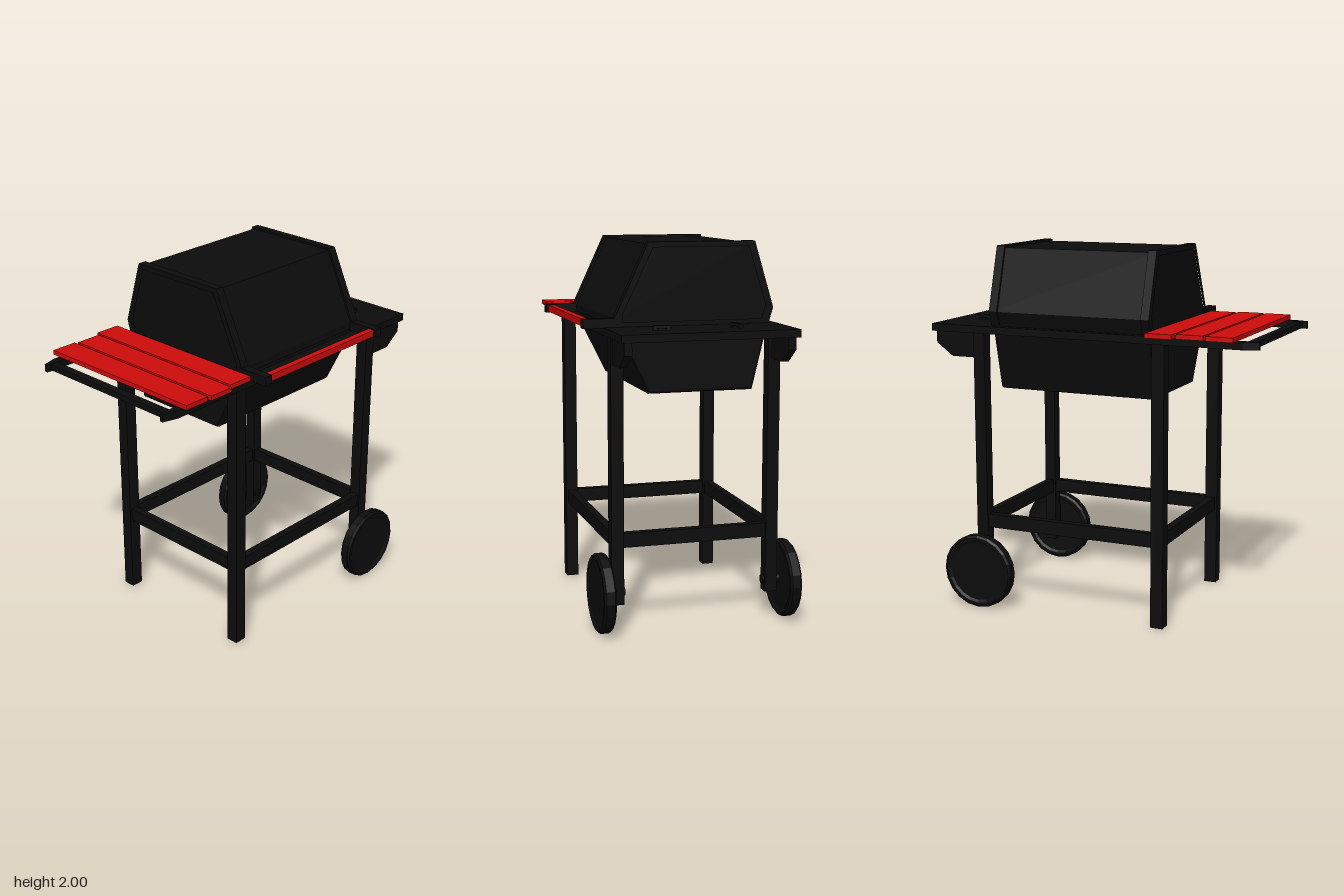
import * as THREE from 'three';

const black = new THREE.MeshStandardMaterial({ color: 0x0c0c0c });
black.name = 'black enamel';
const red = new THREE.MeshStandardMaterial({ color: 0xd00c0c });
red.name = 'red wood';

// The cart is symmetric about this z plane
const MID = -0.023;

export function createModel() {
  const group = new THREE.Group();
  group.name = 'barbecueCart';

  const add = (name, geometry, material, x = 0, y = 0, z = 0) => {
    const mesh = new THREE.Mesh(geometry, material);
    mesh.name = name;
    mesh.position.set(x, y, z);
    group.add(mesh);
    return mesh;
  };
  // Box given by its extents along each axis
  const box = (name, material, [x0, x1], [y0, y1], [z0, z1]) =>
    add(name, new THREE.BoxGeometry(x1 - x0, y1 - y0, z1 - z0), material,
      (x0 + x1) / 2, (y0 + y1) / 2, (z0 + z1) / 2);

  // Side profile of [z, y] points swept from x0 to x1
  const toShape = (pts) => new THREE.Shape(pts.map(([z, y]) => new THREE.Vector2(-z, y)));
  const inset = (pts, sz, sy, cz, cy) => pts.map(([z, y]) => [cz + (z - cz) * sz, cy + (y - cy) * sy]);
  const sweepX = (name, shape, x0, x1, bevel = 0) => {
    const geo = new THREE.ExtrudeGeometry(shape, {
      depth: x1 - x0 - 2 * bevel, bevelEnabled: bevel > 0, bevelSize: bevel,
      bevelThickness: bevel, bevelOffset: -bevel, bevelSegments: 2,
    });
    geo.rotateY(Math.PI / 2);
    return add(name, geo, black, x0 + bevel);
  };

  // Lid: inset body between two raised end rims
  const lid = [[0.385, 1.575], [0.385, 1.615], [0.205, 2], [-0.365, 2], [-0.47, 1.655], [-0.445, 1.575]];
  sweepX('lid', toShape(inset(lid, 0.97, 0.975, -0.04, 1.575)), -0.332, 0.573);
  for (const [x0, x1] of [[-0.342, -0.295], [0.538, 0.585]]) {
    const rim = toShape(lid);
    rim.holes.push(new THREE.Path(inset(lid, 0.9, 0.88, -0.04, 1.77).map(([z, y]) => new THREE.Vector2(-z, y))));
    sweepX('lidRim', rim, x0, x1);
  }

  // Fire bowl
  const bowl = [[0.355, 1.535], [0.2, 1.225], [-0.365, 1.225], [-0.44, 1.535]];
  sweepX('bowl', toShape(bowl), -0.34, 0.575, 0.016);
  box('bowlRim', black, [-0.335, 0.57], [1.53, 1.577], [-0.43, 0.36]);

  // Lid handle
  box('handleBar', red, [-0.295, 0.535], [1.578, 1.615], [0.5, 0.535]);
  for (const x of [-0.345, 0.535]) {
    box('handleBracket', black, [x, x + 0.05], [1.572, 1.62], [0.36, 0.547]);
  }

  // Legs, rails, wheels and table brackets on both sides
  for (const s of [1, -1]) {
    const span = (a, b) => [MID + s * a, MID + s * b].sort((p, q) => p - q);
    const legZ = span(0.387, 0.453);
    box('leftLeg', black, [-0.43, -0.36], [0.01, 1.54], legZ);
    box('wheelLeg', black, [0.615, 0.68], [0.15, 1.54], legZ);
    box('lowerRail', black, [-0.36, 0.615], [0.45, 0.525], span(0.398, 0.442));

    // Upper rail with a tapered tip
    const tip = [[-0.93, 0.422], [-0.93, 0.44], [-0.85, 0.463], [0.59, 0.463], [0.59, 0.418], [-0.85, 0.418]];
    const rail = new THREE.ExtrudeGeometry(
      new THREE.Shape(tip.map(([x, z]) => new THREE.Vector2(x, -(MID + s * z)))),
      { depth: 0.04, bevelEnabled: false });
    rail.rotateX(-Math.PI / 2);
    add('upperRail', rail, black, 0, 1.535, 0);
    for (const x of [-0.43, -0.342, 0.575]) {
      box('railGusset', black, [x, x + 0.06], [1.535, 1.575], span(0.385, 0.42));
    }

    // Wheel with a shallow dish on each face
    const profile = [[0, -0.024], [0.165, -0.024], [0.178, -0.032], [0.195, -0.032], [0.207, -0.022],
      [0.207, 0.022], [0.195, 0.032], [0.178, 0.032], [0.165, 0.024], [0, 0.024]];
    const wheel = new THREE.LatheGeometry(profile.map(([r, h]) => new THREE.Vector2(r, h)), 20).toNonIndexed();
    wheel.rotateX(Math.PI / 2);
    wheel.computeVertexNormals();
    add('wheel', wheel, black, 0.645, 0.212, MID + s * 0.5);
    const axle = new THREE.CylinderGeometry(0.024, 0.024, 0.12, 12);
    axle.rotateX(Math.PI / 2);
    add('axle', axle, black, 0.645, 0.212, MID + s * 0.437);

    // Bracket below the side table
    const bracket = new THREE.Shape([[0.67, 1.54], [0.67, 1.4], [0.815, 1.4], [0.912, 1.47], [0.912, 1.54]]
      .map(([x, y]) => new THREE.Vector2(x, y)));
    add('tableBracket', new THREE.ExtrudeGeometry(bracket, { depth: 0.04, bevelEnabled: false }),
      black, 0, 0, MID + s * 0.425 - 0.02);
  }

  // Lower cross rails
  for (const x of [-0.395, 0.648]) {
    box('lowerCrossRail', black, [x - 0.022, x + 0.022], [0.45, 0.525], [MID - 0.39, MID + 0.39]);
  }

  // Left end bar and slatted shelf
  box('endBar', black, [-0.905, -0.86], [1.54, 1.572], [MID - 0.43, MID + 0.43]);
  [[-0.815, -0.53, 0.465], [-0.655, -0.52, 0.475], [-0.495, -0.548, 0.45]].forEach(([x, z0, z1]) =>
    box('shelfSlat', red, [x, x + 0.145], [1.575, 1.6], [z0, z1]));

  // Right side table: thin top with folded edges
  box('sideTable', black, [0.588, 0.932], [1.563, 1.575], [-0.486, 0.44]);
  box('tableEdge', black, [0.915, 0.932], [1.535, 1.565], [-0.486, 0.44]);
  box('tableEdge', black, [0.588, 0.605], [1.535, 1.565], [-0.486, 0.44]);
  for (const z of [[-0.486, -0.441], [0.395, 0.44]]) {
    box('tableEdge', black, [0.605, 0.915], [1.535, 1.565], z);
  }

  // Control knobs
  for (const [x, z, turn] of [[0.765, -0.205, 0.15], [0.765, 0.19, 1.4]]) {
    const knob = box('knob', black, [x - 0.045, x + 0.045], [1.573, 1.598], [z - 0.012, z + 0.012]);
    knob.rotation.y = turn;
    add('knobBase', new THREE.CylinderGeometry(0.028, 0.028, 0.05, 12), black, x, 1.56, z);
  }

  return group;
}
